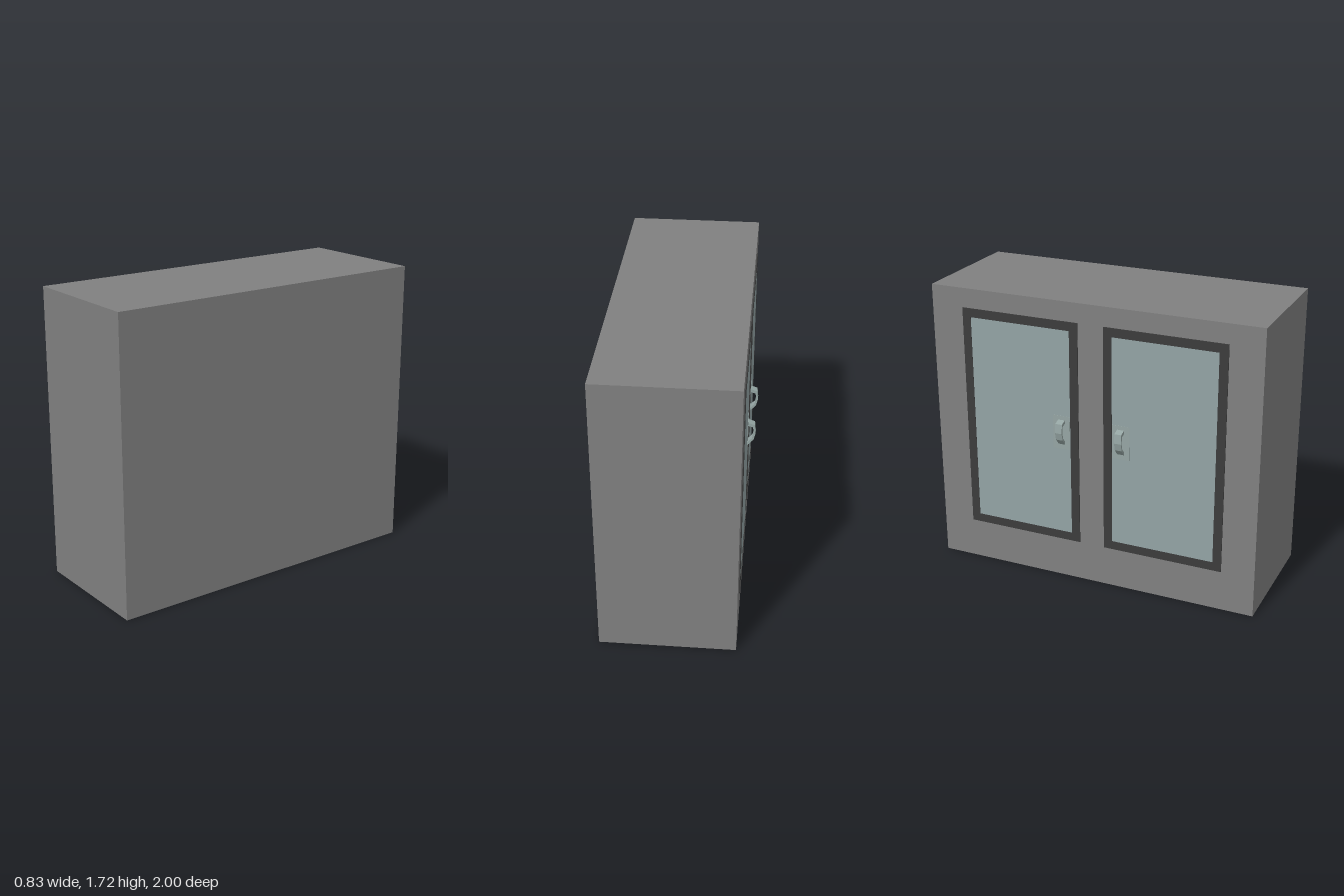
import * as THREE from 'three';

const mat = (name, color) => {
  const m = new THREE.MeshStandardMaterial({ color });
  m.name = name;
  return m;
};

export function createModel() {
  const group = new THREE.Group();
  const body = mat('bodyGrey', 0x808080);
  const dark = mat('frameDark', 0x3c3c3c);
  const panel = mat('panelBlueGrey', 0x93a3a5);
  const metal = mat('handleMetal', 0x95a5a3);
  const FACE = -0.365; // x of the wall that carries the doors

  const add = (parent, name, geo, material, x = 0, y = 0, z = 0) => {
    const mesh = new THREE.Mesh(geo, material);
    mesh.name = name;
    mesh.position.set(x, y, z);
    parent.add(mesh);
    return mesh;
  };

  // Rectangular ring standing in the y-z plane, growing outwards (-x)
  const ring = (w, h, border, depth) => {
    const rect = (P, a, b) => new P([[-a, -b], [a, -b], [a, b], [-a, b]].map(p => new THREE.Vector2(...p)));
    const shape = rect(THREE.Shape, w / 2, h / 2);
    shape.holes.push(rect(THREE.Path, w / 2 - border, h / 2 - border));
    return new THREE.ExtrudeGeometry(shape, { depth, bevelEnabled: false }).rotateY(-Math.PI / 2);
  };

  // Cabinet body
  add(group, 'cabinetBody', new THREE.BoxGeometry(0.78, 1.72, 2), body, 0.025, 0.86, 0);

  // Bow-shaped pull, profile given as [distance from wall, height]
  const outer = [[0, 1.015], [0.044, 1.0], [0.05, 0.945], [0.039, 0.9], [0, 0.855]];
  const inner = [[0, 0.875], [0.031, 0.91], [0.039, 0.945], [0.034, 0.984], [0, 0.995]];
  const pullShape = new THREE.Shape([...outer, ...inner].map(([d, y]) => new THREE.Vector2(FACE - d, y)));
  const pull = new THREE.ExtrudeGeometry(pullShape, { depth: 0.042, bevelEnabled: false }).translate(0, 0, -0.021);

  // Two doors mirrored about z = 0
  for (const s of [-1, 1]) {
    const door = new THREE.Group();
    door.name = s < 0 ? 'rearDoor' : 'frontDoor';
    add(door, 'doorFrame', ring(0.725, 1.36, 0.052, 0.005), dark, FACE, 0.925, s * 0.44);
    add(door, 'doorPanel', new THREE.BoxGeometry(0.623, 1.258, 0.004).rotateY(Math.PI / 2), panel, FACE - 0.002, 0.925, s * 0.44);
    add(door, 'handlePlate', new THREE.BoxGeometry(0.006, 0.205, 0.105), metal, FACE - 0.003, 0.935, s * 0.185);
    add(door, 'handlePull', pull, metal, 0, 0, s * 0.184);
    group.add(door);
  }
  return group;
}
